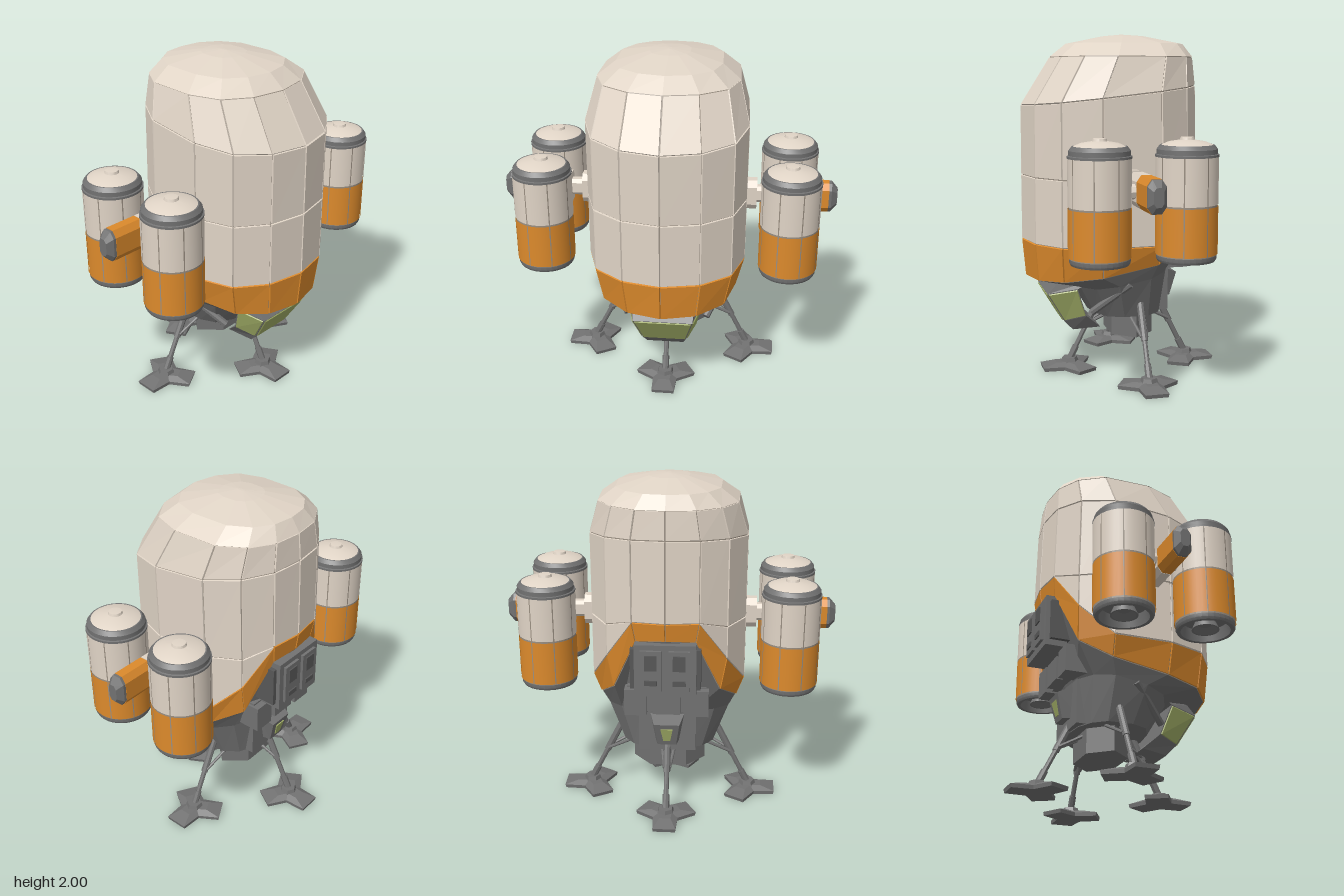
import * as THREE from 'three';
import { toCreasedNormals } from 'three/addons/utils/BufferGeometryUtils.js';

const V = (x, y, z) => new THREE.Vector3(x, y, z);
const mat = (color, flatShading = true) => new THREE.MeshStandardMaterial({ color, flatShading, side: THREE.DoubleSide });
const cream = mat(0xe0d4c6), orange = mat(0xdc8a2c), grey = mat(0x727272), dark = mat(0x585858);
const green = mat(0xa3b068), seam = mat(0x9a8f82);
const creamSmooth = mat(0xe0d4c6, false), orangeSmooth = mat(0xdc8a2c, false), greySmooth = mat(0x727272, false);

function add(parent, name, geo, material, x = 0, y = 0, z = 0) {
  const m = new THREE.Mesh(geo, material);
  m.name = name;
  m.position.set(x, y, z);
  parent.add(m);
  return m;
}
const box = (p, name, w, h, d, m, x, y, z) => add(p, name, new THREE.BoxGeometry(w, h, d), m, x, y, z);

function fromPoints(points, index) {
  const g = new THREE.BufferGeometry().setFromPoints(points);
  g.setIndex(index);
  g.computeVertexNormals();
  return g;
}

// Skin over rings listed from bottom to top, closed by a fan at each end
function loft(rings) {
  const n = rings[0].length, pts = rings.flat(), idx = [];
  for (let r = 0; r < rings.length - 1; r++) for (let i = 0; i < n; i++) {
    const a = r * n + i, b = r * n + (i + 1) % n;
    idx.push(a, b, b + n, a, b + n, a + n);
  }
  const middle = (ring) => ring.reduce((s, p) => s.add(p), V(0, 0, 0)).divideScalar(n);
  const last = rings.length - 1, lo = pts.length, hi = lo + 1;
  const all = [...pts, middle(rings[0]), middle(rings[last])];
  for (let i = 0; i < n; i++) {
    const j = (i + 1) % n;
    idx.push(lo, j, i, hi, last * n + i, last * n + j);
  }
  return fromPoints(all, idx);
}

// Raised plate inside a quad, with sloped edges
function plate(quad, gap = 0.005, depth = 0.014) {
  const normal = quad[2].clone().sub(quad[0]).cross(quad[3].clone().sub(quad[1])).normalize();
  const inset = (g) => quad.map((p, i) => {
    const q = quad[(i + 3) % 4].clone().sub(p).normalize(), r = quad[(i + 1) % 4].clone().sub(p).normalize();
    return p.clone().addScaledVector(q.add(r), g);
  });
  const face = inset(gap), base = inset(gap * 0.4).map((p) => p.addScaledVector(normal, -depth));
  const idx = [0, 1, 2, 0, 2, 3];
  for (let i = 0; i < 4; i++) { const j = (i + 1) % 4; idx.push(i, i + 4, j + 4, i, j + 4, j); }
  return fromPoints([...face, ...base], idx);
}

function bar(parent, name, a, b, r, material = grey) {
  const d = b.clone().sub(a);
  const m = add(parent, name, new THREE.CylinderGeometry(r, r, d.length(), 8), material);
  m.position.copy(a).addScaledVector(d, 0.5);
  m.quaternion.setFromUnitVectors(V(0, 1, 0), d.normalize());
}

// Half outline of the cabin, front to back, with heights of the orange skirt and middle seam
const half = [
  // x, z, skirt bottom, skirt top, middle seam
  [0, 0.59, 0.585, 0.81, 1.19], [0.22, 0.545, 0.59, 0.81, 1.19], [0.39, 0.42, 0.605, 0.81, 1.19],
  [0.46, 0.2, 0.63, 0.81, 1.19], [0.45, -0.14, 0.69, 0.81, 1.19], [0.345, -0.32, 0.8, 1.0, 1.19],
  [0.19, -0.42, 1.12, 1.24, 1.24], [0, -0.445, 1.13, 1.24, 1.24],
];
const outline = [...half, ...half.slice(1, -1).reverse().map(([x, ...rest]) => [-x, ...rest])];
const remap = (z, back, front) => back + (z + 0.445) / 1.035 * (front - back);
const ringOf = (f) => outline.map(([x, z, a, b, c]) => V(...f(x, z, a, b, c)));

function cabin(root) {
  const g = new THREE.Group();
  g.name = 'cabin';
  root.add(g);
  const rings = [
    ringOf((x, z, a) => [x * 0.9, a, z * 0.965]),
    ringOf((x, z, a, b) => [x, b, z]),
    ringOf((x, z, a, b, c) => [x, c, z]),
    ringOf((x, z) => [x, 1.66 - 0.108 * z, remap(z, -0.435, 0.588)]),
    ringOf((x, z) => [x * 0.87, 1.87, remap(z, -0.42, 0.415)]),
  ];
  const inner = rings.map((r) => r.map((p) => V(p.x * 0.982, p.y, p.z * 0.982)));
  add(g, 'cabinCore', loft(inner), seam);
  for (let r = 0; r < 4; r++) for (let i = 0; i < 14; i++) {
    const j = (i + 1) % 14, lo = rings[r], hi = rings[r + 1];
    if (hi[i].y - lo[i].y + hi[j].y - lo[j].y < 0.05) continue;
    add(g, r ? 'cabinPanel' : 'skirtPanel', plate([lo[i], lo[j], hi[j], hi[i]]), r ? cream : orange);
  }
  // Faceted dome
  add(g, 'dome', loft([rings[4],
    ringOf((x, z) => [x * 0.65, 1.945, remap(z, -0.37, 0.32)]),
    ringOf((x, z) => [x * 0.25, 1.99, remap(z, -0.15, 0.1)]),
    ringOf((x, z) => [x * 0.02, 2.0, remap(z, -0.04, 0)])]), cream);
  // Grey hull under the cabin
  add(g, 'lowerHull', loft([
    ringOf((x, z) => [x * 0.6, 0.365, remap(z, -0.24, 0.2)]),
    ringOf((x, z) => [x * 0.8, 0.59 - 0.1 * z, remap(z, -0.27, 0.3)]),
    inner[0]]), grey);
  const engine = add(g, 'engineBlock', new THREE.CylinderGeometry(0.19, 0.19, 0.16, 6), grey, 0, 0.3, -0.053);
  engine.rotation.y = Math.PI / 2;
  engine.rotation.y = 0;
  engine.geometry.rotateY(Math.PI / 6).scale(1, 1, 0.88);
  engine.geometry.scale(1 / 0.866, 1, 0.866);
}

function cockpit(root) {
  const g = new THREE.Group();
  g.name = 'cockpit';
  root.add(g);
  const ring = (fx, fy, fz, bx, by, bz) => [V(-fx, fy, fz), V(fx, fy, fz), V(bx, by, bz), V(-bx, by, bz)];
  const rings = [
    ring(0.11, 0.265, 0.31, 0.14, 0.28, 0.15), ring(0.13, 0.325, 0.365, 0.18, 0.36, 0.24),
    ring(0.175, 0.505, 0.472, 0.22, 0.535, 0.3), ring(0.18, 0.56, 0.42, 0.23, 0.59, 0.2),
  ];
  add(g, 'cockpitFrame', loft(rings), grey);
  const [lo, hi] = [rings[1], rings[2]];
  for (const [i, j] of [[0, 1], [1, 2], [3, 0]]) {
    const quad = [lo[i], lo[j], hi[j], hi[i]];
    const n = hi[j].clone().sub(lo[i]).cross(hi[i].clone().sub(lo[j])).normalize().multiplyScalar(0.006);
    add(g, 'window', plate(quad.map((p) => p.clone().add(n)), 0.009, 0.008), green);
  }
}

function rearEquipment(root) {
  const g = new THREE.Group();
  g.name = 'rearEquipment';
  root.add(g);
  box(g, 'backpack', 0.35, 0.31, 0.13, grey, 0, 0.965, -0.39);
  box(g, 'backpackMount', 0.4, 0.24, 0.14, dark, 0, 0.965, -0.36);
  box(g, 'lowerBlock', 0.16, 0.14, 0.15, grey, 0, 0.72, -0.28);
  box(g, 'blockSpine', 0.46, 0.16, 0.1, grey, 0, 0.73, -0.265);
  box(g, 'hatchBase', 0.34, 0.26, 0.12, grey, 0, 0.5, -0.2);
  for (const s of [-1, 1]) {
    box(g, 'backpackDoor', 0.12, 0.24, 0.02, grey, s * 0.08, 0.97, -0.462);
    box(g, 'doorInset', 0.07, 0.09, 0.014, dark, s * 0.08, 1.02, -0.473);
    box(g, 'doorHandle', 0.07, 0.03, 0.014, dark, s * 0.08, 0.9, -0.473);
    box(g, 'sideBlock', 0.13, 0.16, 0.15, grey, s * 0.18, 0.72, -0.28);
    bar(g, 'hullBrace', V(s * 0.24, 0.4, 0.22), V(s * 0.36, 0.58, 0.02), 0.022);
  }
  // Tilted rear hatch with a small window
  const hatch = new THREE.Group();
  hatch.name = 'rearHatch';
  hatch.position.set(0, 0.51, -0.285);
  hatch.rotation.x = -0.25;
  g.add(hatch);
  const face = (w1, w2, h, z) => [V(w1, -h, z), V(-w1, -h, z), V(-w2, h, z), V(w2, h, z)];
  add(hatch, 'hatchFrame', loft([face(0.08, 0.1, 0.09, 0.05), face(0.055, 0.075, 0.075, -0.04)].reverse().map((r) => r.reverse())), grey);
  add(hatch, 'hatchWindow', plate(face(0.022, 0.038, 0.045, -0.046), 0.002, 0.01), green);
}

// Fuel pod with eight curved plates in two colours
function fuelPod(root, x, z) {
  const g = new THREE.Group();
  g.name = 'fuelPod';
  g.position.set(x, 0, z);
  root.add(g);
  const lathe = (name, pts, m) => add(g, name, toCreasedNormals(
    new THREE.LatheGeometry(pts.map((p) => new THREE.Vector2(...p)), 32), 0.5), m);
  add(g, 'podCore', new THREE.CylinderGeometry(0.163, 0.163, 0.53, 32, 1, true), seam, 0, 1.08, 0);
  for (let k = 0; k < 8; k++) for (const [y, m] of [[0.95, orangeSmooth], [1.217, creamSmooth]])
    add(g, 'podPlate', new THREE.CylinderGeometry(0.168, 0.168, 0.257, 5, 1, true,
      (k + 0.5) * Math.PI / 4 + 0.02, Math.PI / 4 - 0.04), m, 0, y, 0);
  lathe('podBase', [[0, 0.85], [0.125, 0.85], [0.135, 0.782], [0.155, 0.782], [0.162, 0.795], [0.162, 0.822]], greySmooth);
  lathe('podNozzle', [[0, 0.82], [0.035, 0.82], [0.065, 0.79], [0.075, 0.79], [0.05, 0.85]], greySmooth);
  lathe('podCollar', [[0.17, 1.34], [0.17, 1.352], [0.162, 1.355], [0.162, 1.38], [0.145, 1.402], [0.13, 1.402]], greySmooth);
  lathe('podDome', [[0.145, 1.39], [0.142, 1.4], [0.1, 1.418], [0.04, 1.428], [0.036, 1.442], [0, 1.445]], creamSmooth);
}

// Side arm: elongated six-sided sections along x
function sideArm(root, s) {
  const g = new THREE.Group();
  g.name = 'sideArm';
  g.scale.x = s;
  root.add(g);
  const section = (x, h, w) => [[0.5, 1], [1, 0.6], [1, -0.6], [0.5, -1], [-0.5, -1], [-1, -0.6], [-1, 0.6], [-0.5, 1]]
    .map(([z, y]) => V(x, 1.16 + y * h, 0.04 + z * w));
  const parts = [['armRoot', cream, [0.42, 0.09, 0.052], [0.515, 0.09, 0.052]],
    ['armNeck', cream, [0.51, 0.05, 0.035], [0.59, 0.05, 0.035]],
    ['armBeam', cream, [0.58, 0.09, 0.052], [0.737, 0.09, 0.052]],
    ['armSleeve', orange, [0.74, 0.09, 0.052], [0.93, 0.09, 0.052]],
    ['armTip', grey, [0.93, 0.088, 0.05], [0.945, 0.088, 0.05], [0.98, 0.05, 0.027]]];
  for (const [name, m, ...secs] of parts) add(g, name, loft(secs.map((a) => section(...a))), m);
  bar(g, 'podPylon', V(0.705, 1.16, -0.06), V(0.705, 1.16, 0.14), 0.04, cream);
  for (const z of [0.28, -0.195]) fuelPod(root, s * 0.705, z);
}

// Landing leg reaching along local +z, with a three-lobed foot
function landingLeg(root, angle, reach) {
  const g = new THREE.Group();
  g.name = 'landingLeg';
  g.position.z = -0.055;
  g.rotation.y = angle;
  root.add(g);
  const star = (y, k) => [0, 1, 2].flatMap((i) => [[-0.38, 0.182], [0.38, 0.182], [Math.PI / 3, 0.085]].map(([a, r]) => {
    const t = a + i * Math.PI * 2 / 3;
    return V(Math.sin(t) * r * k, y, reach + Math.cos(t) * r * k);
  }));
  add(g, 'footPad', loft([star(0, 0.97), star(0.022, 1), star(0.042, 0.5)]), grey);
  add(g, 'ankle', new THREE.CylinderGeometry(0.045, 0.055, 0.03, 6), grey, 0, 0.05, reach);
  bar(g, 'lowerLeg', V(0, 0.05, reach), V(0, 0.27, reach - 0.11), 0.015);
  bar(g, 'ankleSleeve', V(0, 0.06, reach - 0.005), V(0, 0.13, reach - 0.04), 0.021);
  bar(g, 'upperLeg', V(0, 0.25, reach - 0.1), V(0, 0.47, reach - 0.21), 0.021);
  for (const s of [-1, 1]) bar(g, 'legBrace', V(s * 0.015, 0.27, reach - 0.11), V(s * 0.045, 0.365, reach - 0.29), 0.01);
}

export function createModel() {
  const root = new THREE.Group();
  root.name = 'landerCraft';
  cabin(root);
  cockpit(root);
  rearEquipment(root);
  for (const s of [-1, 1]) sideArm(root, s);
  for (let k = 0; k < 4; k++) landingLeg(root, k * Math.PI / 2, k % 2 ? 0.49 : 0.365);
  return root;
}
